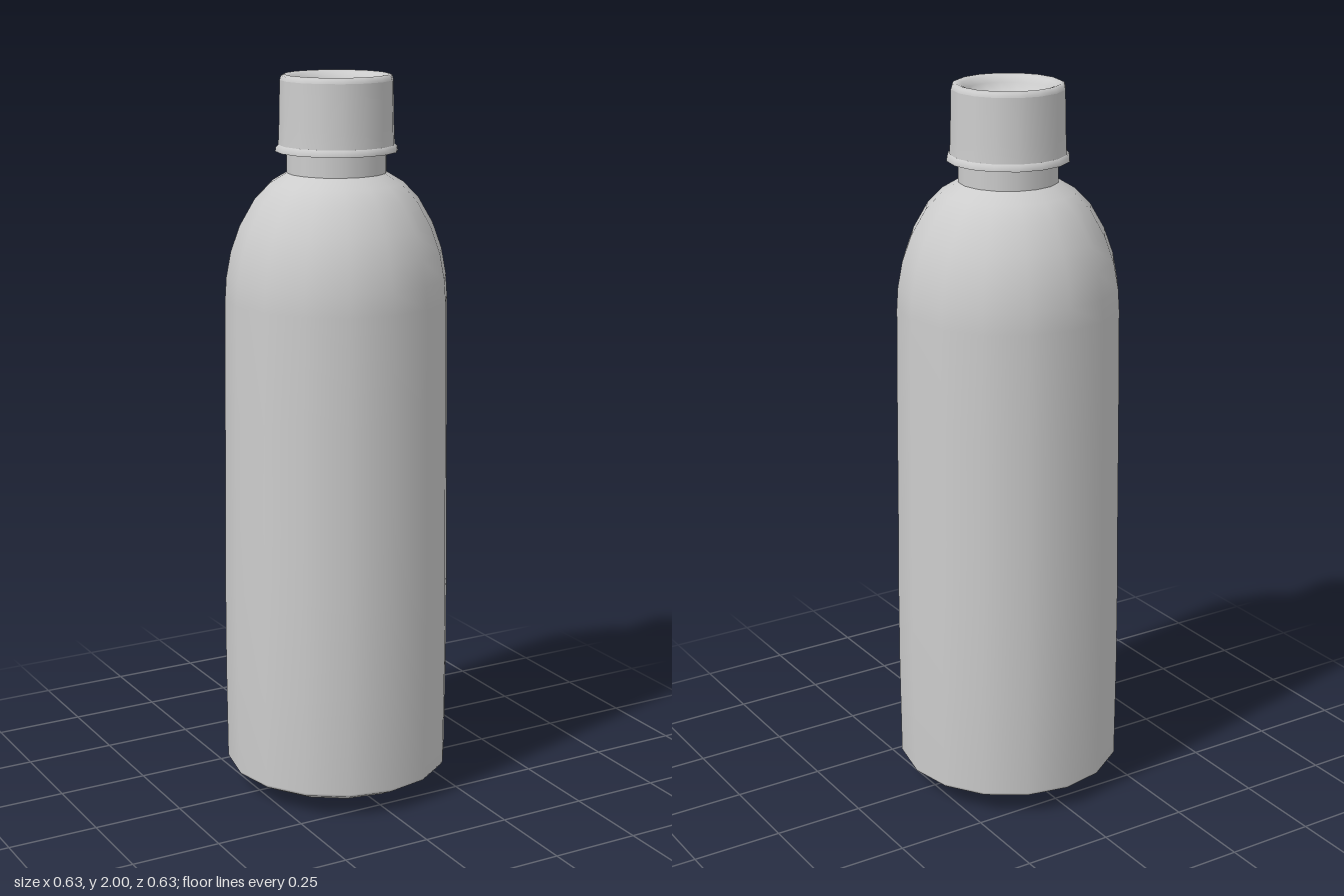
import * as THREE from 'three';

const SIDES = 16;

export function createModel() {
  const group = new THREE.Group();
  const grey = new THREE.MeshStandardMaterial({ color: 0xcccccc });
  grey.name = 'light grey';

  // Profiles are [radius, height], listed so that the faces point outward
  const turned = (name, profile) => {
    const points = profile.map(([r, y]) => new THREE.Vector2(r, y));
    const mesh = new THREE.Mesh(new THREE.LatheGeometry(points, SIDES), grey);
    mesh.name = name;
    group.add(mesh);
  };

  // Base and tall, slightly tapered body with a domed shoulder
  turned('body', [
    [0, 0], [0.09, 0.003], [0.2, 0.015], [0.26, 0.037], [0.308, 0.063], [0.313, 0.072],
    [0.315, 0.35], [0.314, 0.6], [0.311, 0.8], [0.308, 1.1], [0.304, 1.4],
    [0.3, 1.46], [0.287, 1.53], [0.262, 1.6], [0.222, 1.67], [0.18, 1.713], [0.135, 1.74],
  ]);

  // Straight neck between shoulder and cap
  turned('neck', [[0.135, 1.735], [0.135, 1.81]]);

  // Cap underside, flared skirt and side wall
  turned('capUnderside', [[0.13, 1.805], [0.165, 1.797]]);
  turned('capSkirt', [[0.165, 1.797], [0.164, 1.808], [0.157, 1.815]]);
  turned('capWall', [[0.157, 1.815], [0.155, 1.86], [0.152, 1.985]]);

  // Rounded rim around a shallow dished top
  turned('capTop', [
    [0.152, 1.985], [0.149, 1.996], [0.14, 2], [0.125, 1.995], [0.112, 1.98],
    [0.1, 1.955], [0, 1.935],
  ]);

  return group;
}
